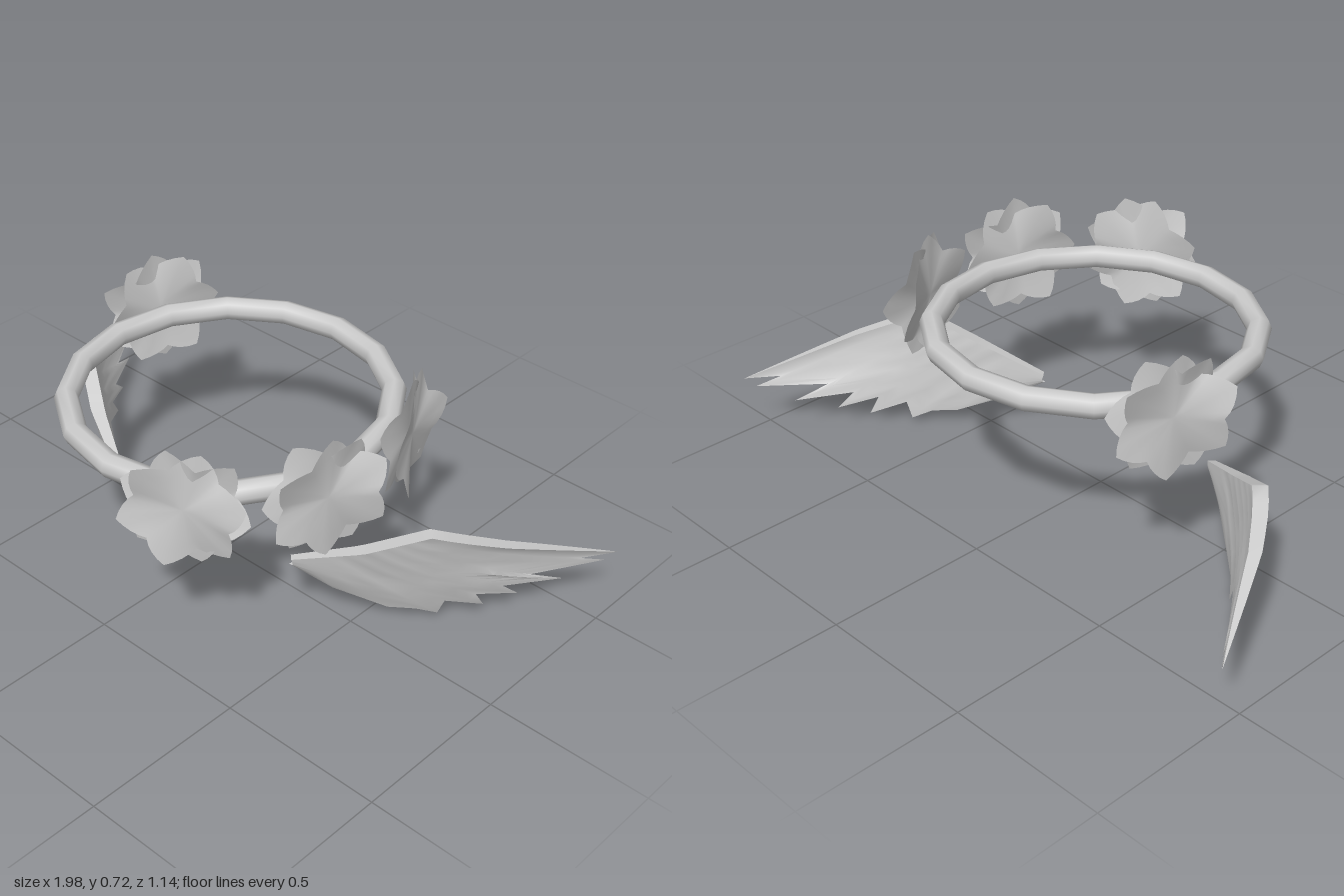
import * as THREE from 'three';
import { toCreasedNormals } from 'three/addons/utils/BufferGeometryUtils.js';

const material = new THREE.MeshStandardMaterial({ color: 0xcccccc, side: THREE.DoubleSide });

function part(geometry, name) {
  const mesh = new THREE.Mesh(geometry, material);
  mesh.name = name;
  return mesh;
}

function indexed(positions, indices) {
  const g = new THREE.BufferGeometry();
  g.setAttribute('position', new THREE.Float32BufferAttribute(positions, 3));
  g.setIndex(indices);
  g.computeVertexNormals();
  return g;
}

// One six-pointed petal layer facing +z, ruffled so that its tips bend to and fro;
// side is 1 for the front layer, -1 for the back
function petalLayer(side, phase) {
  const rings = 5, segs = 48, pos = [0, 0, side * 0.006], idx = [];
  for (let i = 1; i <= rings; i++) {
    const f = i / rings;
    for (let j = 0; j < segs; j++) {
      const a = (j / segs) * Math.PI * 2;
      const wave = Math.abs(((j / 8) % 1) * 2 - 1); // 1 at a tip, 0 in a notch
      const r = f * (0.135 + 0.05 * wave * f);
      const curl = 0.006 + 0.016 * Math.cos(3 * a + phase) + 0.012 * Math.cos(2 * a + phase) + 0.01 * wave;
      pos.push(r * Math.cos(a), r * Math.sin(a), side * (0.006 + curl * f * f));
      const k = (j + 1) % segs, row = 1 + (i - 1) * segs;
      if (i === 1) idx.push(0, 1 + j, 1 + k);
      else idx.push(row - segs + j, row + j, row + k, row - segs + j, row + k, row - segs + k);
    }
  }
  return indexed(pos, idx);
}

function flower(name, x, y, z, nx, nz, spin) {
  const g = new THREE.Group();
  g.name = name;
  const front = part(petalLayer(1, spin * 3), 'frontPetals');
  const back = part(petalLayer(-1, spin * 5), 'backPetals');
  front.rotation.z = spin;
  back.rotation.z = spin + Math.PI / 6;
  g.add(front, back);
  g.position.set(x, y, z);
  g.rotation.y = Math.atan2(nx, nz);
  return g;
}

// Trailing edge from root to wing tip as [z, y], feather tips and notches in turn
const trailing = [
  [0.09, 0.175], [0.02, 0.105], [-0.08, 0.045], [-0.135, 0.04], [-0.185, 0.018],
  [-0.19, 0.07], [-0.285, 0.04], [-0.255, 0.09], [-0.365, 0.068], [-0.315, 0.112],
  [-0.47, 0.105], [-0.375, 0.147], [-0.56, 0.162], [-0.49, 0.187], [-0.585, 0.19],
];

// Plan of the wing as [z, x], bending back from root to tip
const plan = [[0.09, 0.345], [0, 0.53], [-0.1, 0.685], [-0.16, 0.74], [-0.27, 0.82], [-0.6, 1]];
function planX(z) {
  const i = Math.max(1, plan.findIndex(p => p[0] <= z));
  const [a, b] = [plan[i - 1], plan[i]];
  return THREE.MathUtils.mapLinear(z, a[0], b[0], a[1], b[1]);
}

// Feather lines fan out from the leading edge and sweep back to the trailing edge
function wingGeometry() {
  const rows = trailing.length, n = 10, stride = 2 * (n + 1), pos = [], idx = [];
  const leadY = z => z > -0.1
    ? THREE.MathUtils.mapLinear(z, 0.09, -0.1, 0.2, 0.36)
    : THREE.MathUtils.mapLinear(z, -0.1, -0.585, 0.36, 0.19);
  trailing.forEach(([ez, ey], i) => {
    const t = i / (rows - 1);
    const z0 = THREE.MathUtils.lerp(0.09, -0.1, t);
    const curve = new THREE.QuadraticBezierCurve(
      new THREE.Vector2(z0, leadY(z0)),
      new THREE.Vector2(0.08 - 0.38 * t, 0.17 + 0.12 * t ** 4),
      new THREE.Vector2(ez, ey));
    const notch = i >= 5 && i % 2 === 1 ? 0.4 : 1;
    const root = 0.012 + 0.01 * Math.min(1, t * 2);
    for (const side of [1, -1]) {
      for (let j = 0; j <= n; j++) {
        const v = j / n, p = curve.getPoint(v);
        const x = planX(p.x) - 0.29 * Math.max(leadY(p.x) - p.y, 0);
        const thick = side * root * (1 - v * v) * THREE.MathUtils.lerp(1, notch, Math.min(1, v * 2));
        pos.push(x + thick * 0.7, p.y, p.x + thick * 0.7);
      }
    }
  });
  const quad = (a, b, c, d) => idx.push(a, b, c, a, c, d);
  for (let i = 0; i < rows - 1; i++) {
    const a = i * stride, b = a + stride, h = n + 1;
    for (let j = 0; j < n; j++) {
      quad(a + j, a + j + 1, b + j + 1, b + j);
      quad(a + h + j, b + h + j, b + h + j + 1, a + h + j + 1);
    }
    quad(a, b, b + h, a + h); // leading edge
  }
  // Close the root and the outer leading edge
  const last = (rows - 1) * stride;
  for (let j = 0; j < n; j++) {
    quad(j, j + n + 1, j + n + 2, j + 1);
    quad(last + j, last + j + 1, last + j + n + 2, last + j + n + 1);
  }
  return toCreasedNormals(indexed(pos, idx), 1.0);
}

export function createModel() {
  const model = new THREE.Group();
  model.name = 'flowerCrownWithWings';

  // Crown ring, slightly raised at the back
  const ring = part(new THREE.TorusGeometry(0.47, 0.036, 8, 16).rotateX(Math.PI / 2), 'crownRing');
  ring.position.set(0, 0.545, -0.022);
  ring.rotation.x = 0.025;
  model.add(ring);

  // Flowers around the ring
  model.add(
    flower('frontFlower', 0.275, 0.525, 0.445, 0.53, 0.85, 0.25),
    flower('leftFrontFlower', 0.52, 0.535, 0.15, 0.94, 0.34, 0.5),
    flower('leftBackFlower', 0.495, 0.54, -0.23, 0.93, -0.36, 0.1),
    flower('rightBackFlower', -0.5, 0.54, -0.23, -0.93, -0.37, 0.4));

  // Pair of wings
  const wing = wingGeometry();
  const left = part(wing, 'leftWing');
  const right = part(wing, 'rightWing');
  right.scale.x = -1;
  right.position.set(0, -0.018, 0.02);
  model.add(left, right);
  return model;
}
